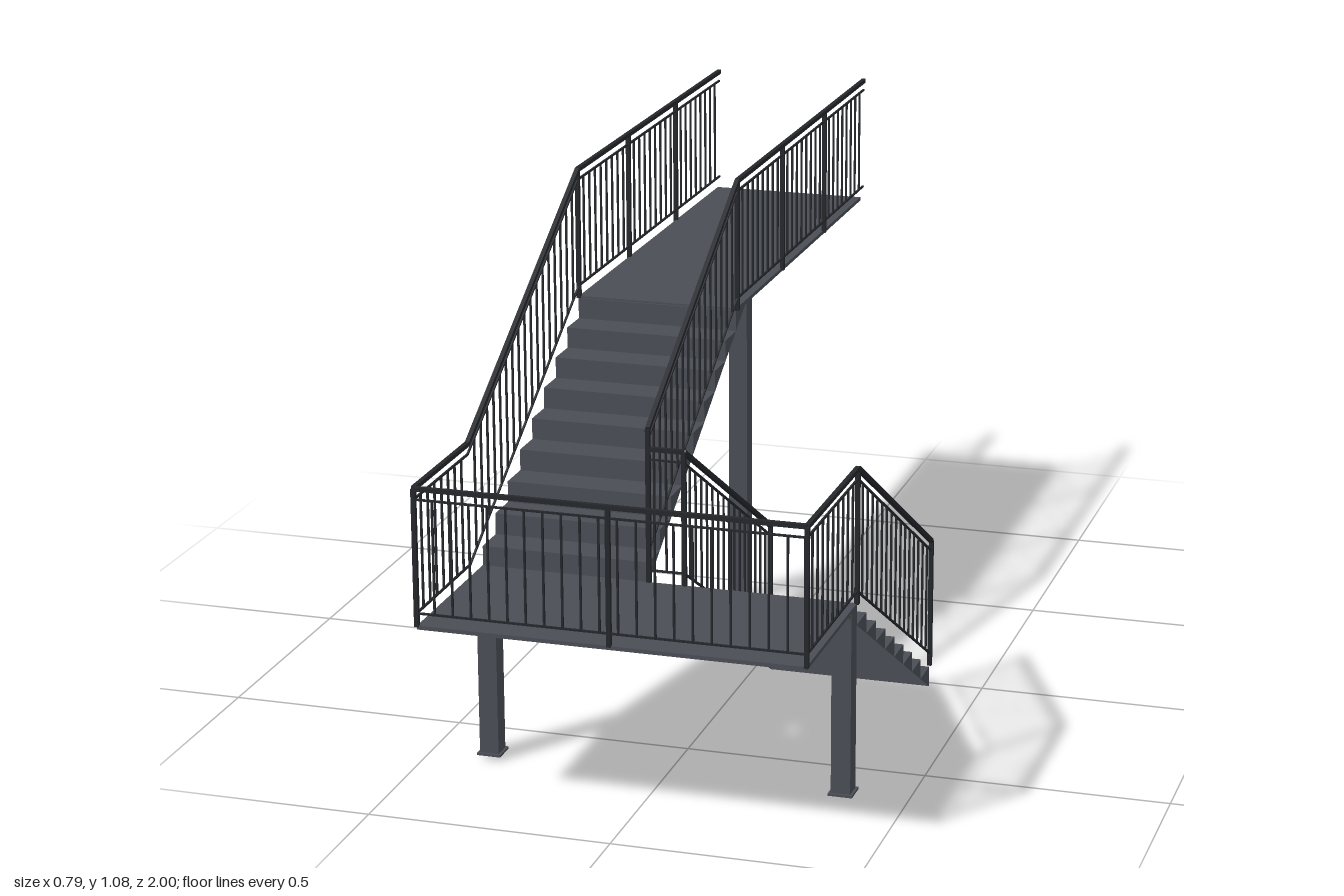
import * as THREE from 'three';
import { mergeGeometries } from 'three/addons/utils/BufferGeometryUtils.js';

const steel = new THREE.MeshStandardMaterial({ color: 0x4a4e55 });
const sheet = new THREE.MeshStandardMaterial({ color: 0x4a4e55, side: THREE.DoubleSide });
const railPaint = new THREE.MeshStandardMaterial({ color: 0x25272b });
const V = (x, y, z) => new THREE.Vector3(x, y, z);

const STEPS = 9, RISE = 0.4 / STEPS, GOING = 0.0755;
const RAIL_H = 0.28;

function boxGeo(w, h, d, x, y, z) {
  return new THREE.BoxGeometry(w, h, d).translate(x, y, z);
}

// Square bar running between two points
function barGeo(a, b, size) {
  const dir = b.clone().sub(a);
  const g = new THREE.BoxGeometry(size, size, dir.length());
  const m = new THREE.Matrix4().lookAt(b, a, V(0, 1, 0));
  m.setPosition(a.clone().add(b).multiplyScalar(0.5));
  return g.applyMatrix4(m);
}

function addMesh(parent, name, geo, mat) {
  const mesh = new THREE.Mesh(geo, mat);
  mesh.name = name;
  parent.add(mesh);
}

// Folded-sheet stair flight, open beneath, closed by triangular side plates
function flight(name, x0, x1, y0, z0, dir) {
  const pos = [];
  const tri = (...pts) => pts.forEach(p => pos.push(p.x, p.y, p.z));
  const quad = (a, b, c, d) => tri(a, b, c, a, c, d);
  for (let i = 0; i < STEPS; i++) {
    const y = y0 + i * RISE, top = y + RISE;
    const z = z0 + dir * i * GOING, back = z + dir * GOING;
    // wind each sheet so its outer face points towards the walker
    const [l, r] = dir < 0 ? [x0, x1] : [x1, x0];
    quad(V(l, y, z), V(r, y, z), V(r, top, z), V(l, top, z));
    quad(V(l, top, z), V(r, top, z), V(r, top, back), V(l, top, back));
    tri(V(r, y, z), V(r, top, back), V(r, top, z));
    tri(V(l, y, z), V(l, top, z), V(l, top, back));
  }
  const geo = new THREE.BufferGeometry();
  geo.setAttribute('position', new THREE.Float32BufferAttribute(pos, 3));
  geo.computeVertexNormals();
  const mesh = new THREE.Mesh(geo, sheet);
  mesh.name = name;
  return mesh;
}

// Railing between two handrail points; posts are fractions along the run
function railing(name, a, b, posts) {
  const group = new THREE.Group();
  group.name = name;
  const lower = (p, d) => p.clone().setY(p.y - d);
  addMesh(group, 'handrail', barGeo(a, b, 0.009), railPaint);
  addMesh(group, 'thinRails', mergeGeometries([0.022, 0.253].map(
    d => barGeo(lower(a, d), lower(b, d), 0.004))), railPaint);

  if (posts.length) {
    addMesh(group, 'railPosts', mergeGeometries(posts.map(t => {
      const p = a.clone().lerp(b, t);
      return boxGeo(0.009, RAIL_H, 0.009, p.x, p.y - RAIL_H / 2, p.z);
    })), railPaint);
  }
  const run = Math.hypot(b.x - a.x, b.z - a.z);
  const n = Math.max(2, Math.round(run / 0.038));
  const bars = [];
  for (let i = 1; i < n; i++) {
    const p = a.clone().lerp(b, i / n);
    bars.push(boxGeo(0.004, 0.231, 0.004, p.x, p.y - 0.1375, p.z));
  }
  addMesh(group, 'balusters', mergeGeometries(bars), railPaint);
  return group;
}

// Column with a base plate
function column(x, z, top) {
  const group = new THREE.Group();
  group.name = 'column';
  addMesh(group, 'shaft', boxGeo(0.04, top - 0.01, 0.04, x, (top + 0.01) / 2, z), steel);
  addMesh(group, 'basePlate', boxGeo(0.05, 0.005, 0.05, x, 0.0115, z), steel);
  return group;
}

export function createModel() {
  const model = new THREE.Group();
  model.name = 'staircase';

  // Decks
  addMesh(model, 'landing', boxGeo(0.78, 0.008, 0.362, 0, 0.4, 0.811), steel);
  addMesh(model, 'walkway', boxGeo(0.35, 0.008, 1.005, -0.215, 0.8, -0.4825), steel);

  // Stair flights
  model.add(flight('lowerFlight', 0.037, 0.388, 0, 0.02, 1));
  model.add(flight('upperFlight', -0.39, -0.04, 0.4, 0.628, -1));

  // Columns
  for (const x of [-0.37, 0.37]) model.add(column(x, 0.65, 0.397));
  for (const x of [-0.37, -0.06]) model.add(column(x, -0.075, 0.797));

  // Landing railings
  const L = 0.682, T = 1.08, F = 0.991;
  model.add(railing('frontRailing', V(-0.39, L, F), V(0.39, L, F), [0, 0.5, 1]));
  model.add(railing('landingLeftRailing', V(0.39, L, F), V(0.39, L, 0.63), [1]));
  model.add(railing('landingRightRailing', V(-0.39, L, F), V(-0.39, L, 0.7), []));
  model.add(railing('wellRailing', V(-0.038, L, 0.63), V(0.036, L, 0.63), [0, 1]));

  // Lower flight railings
  for (const x of [0.036, 0.39]) {
    model.add(railing('lowerFlightRailing', V(x, L, 0.63), V(x, 0.33, 0.024), [1]));
  }

  // Upper flight and walkway railings
  const slope = (T - L) / 0.68;
  for (const [x, z] of [[-0.39, 0.7], [-0.038, 0.63]]) {
    const start = V(x, T - slope * (z - 0.02), z);
    model.add(railing('upperFlightRailing', start, V(x, T, 0.02), x > -0.1 ? [0] : []));
    model.add(railing('walkwayRailing', V(x, T, 0.02), V(x, T, -1), [0, 0.333, 0.666]));
  }
  return model;
}
